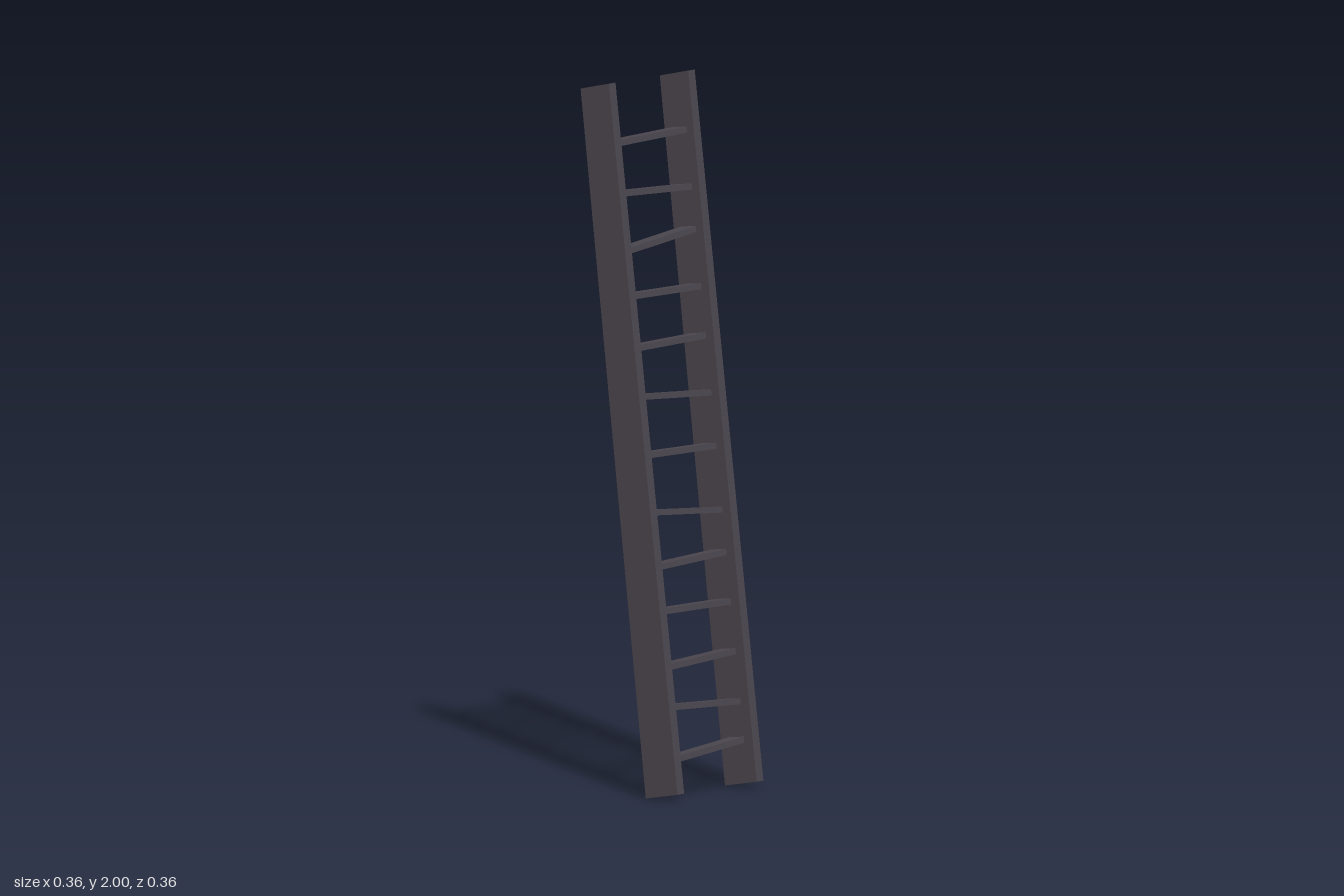
import * as THREE from 'three';

// Rung heights at the front rail and at the back rail
const RUNGS = [
  [0.106, 0.133], [0.255, 0.239], [0.363, 0.379], [0.52, 0.517], [0.642, 0.655],
  [0.798, 0.772], [0.955, 0.95], [1.119, 1.098], [1.252, 1.257], [1.397, 1.394],
  [1.52, 1.554], [1.684, 1.671], [1.822, 1.83],
];
const LEAN = 0.125; // radians

export function createModel() {
  const model = new THREE.Group();
  model.name = 'ladder';
  const wood = new THREE.MeshStandardMaterial({ color: 0x4b464e });
  wood.name = 'dark wood';

  // Leaning side rails with slanted ends
  const profile = new THREE.Shape([
    new THREE.Vector2(0.062, 0),
    new THREE.Vector2(0.18, 0.022),
    new THREE.Vector2(-0.075, 2),
    new THREE.Vector2(-0.18, 1.976),
  ]);
  const railGeometry = new THREE.ExtrudeGeometry(profile, { depth: 0.028, bevelEnabled: false });
  railGeometry.translate(0, 0, -0.014);
  for (const side of [1, -1]) {
    const rail = new THREE.Mesh(railGeometry, wood);
    rail.name = side > 0 ? 'frontRail' : 'backRail';
    rail.position.z = side * 0.167;
    model.add(rail);
  }

  // Uneven plank rungs, tilted with the lean and let into the rails
  const rungGeometry = new THREE.BoxGeometry(0.055, 0.017, 0.325);
  RUNGS.forEach(([front, back], i) => {
    const y = (front + back) / 2;
    const rung = new THREE.Mesh(rungGeometry, wood);
    rung.name = `rung${i + 1}`;
    rung.position.set(0.122 - 0.1255 * y, y, 0);
    rung.rotation.order = 'ZXY';
    rung.rotation.set(-Math.atan2(front - back, 0.32), 0, LEAN);
    model.add(rung);
  });

  return model;
}
